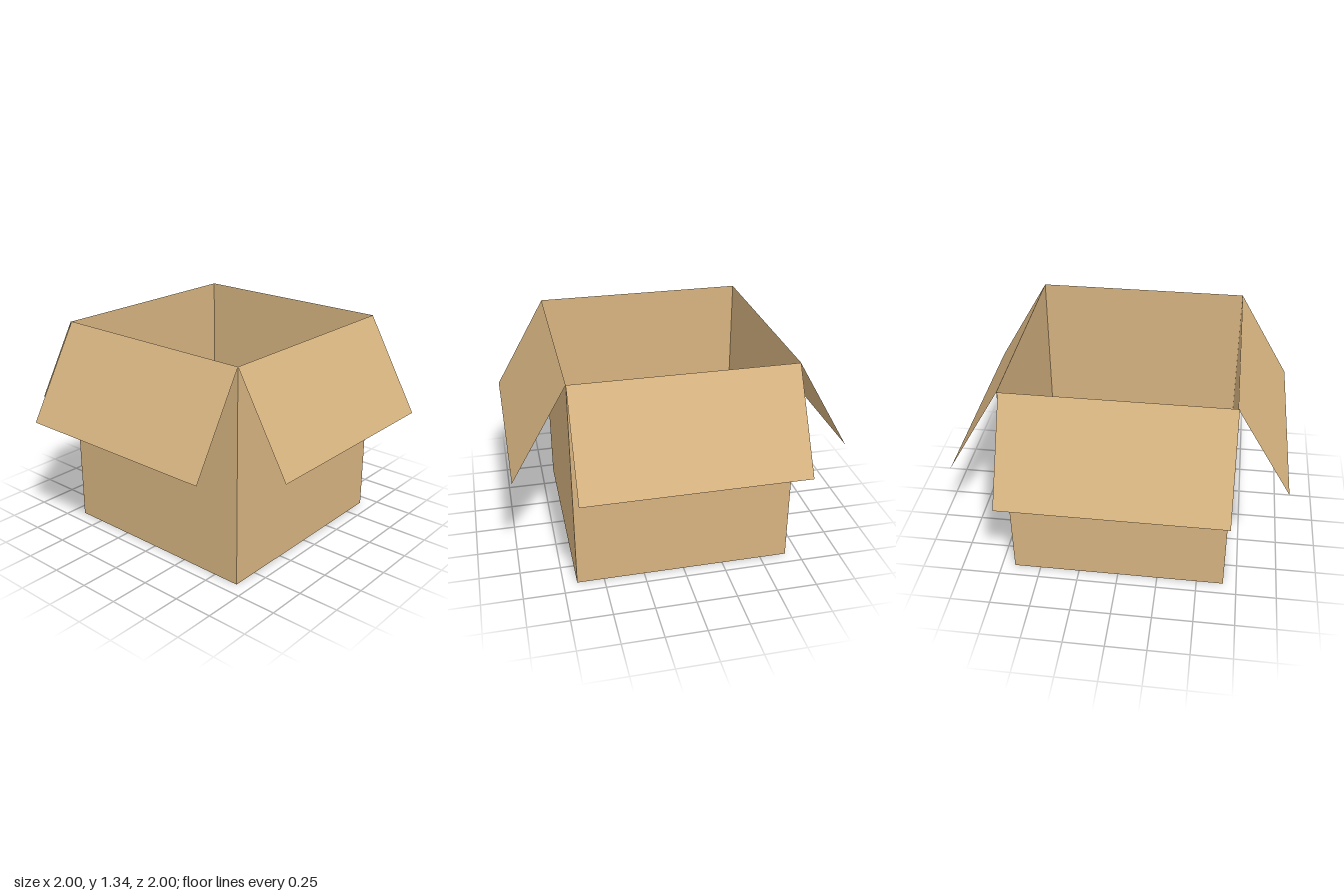
import * as THREE from 'three';

const HALF = 0.667, TOP = 1.335;

export function createModel() {
  const group = new THREE.Group();
  group.name = 'openBox';
  const cardboard = new THREE.MeshStandardMaterial({ color: 0xd6b380, side: THREE.DoubleSide });
  cardboard.name = 'cardboard';

  // Thin sheet of card
  const sheet = (name, width, height) => {
    const mesh = new THREE.Mesh(new THREE.PlaneGeometry(width, height), cardboard);
    mesh.name = name;
    return mesh;
  };

  // Floor
  const floor = sheet('floor', HALF * 2, HALF * 2);
  floor.rotation.x = -Math.PI / 2;
  group.add(floor);

  // Four sides, each a wall with a flap folded outwards from its top edge;
  // shift slides a flap slightly along its hinge
  const sides = [
    { name: 'front', turn: 0, shift: 0, tipY: 0.765 },
    { name: 'left', turn: Math.PI / 2, shift: 0, tipY: 0.757 },
    { name: 'back', turn: Math.PI, shift: 0, tipY: 0.765 },
    { name: 'right', turn: -Math.PI / 2, shift: 0.008, tipY: 0.757 },
  ];
  for (const { name, turn, shift, tipY } of sides) {
    const side = new THREE.Group();
    side.name = name + 'Side';
    side.rotation.y = turn;

    const wall = sheet(name + 'Wall', HALF * 2, TOP);
    wall.position.set(0, TOP / 2, HALF);

    const drop = TOP - tipY, reach = 1 - HALF;
    const flap = sheet(name + 'Flap', HALF * 2, Math.hypot(drop, reach));
    flap.position.set(shift, (TOP + tipY) / 2, (HALF + 1) / 2);
    flap.rotation.x = -Math.atan2(reach, drop);

    side.add(wall, flap);
    group.add(side);
  }
  return group;
}
